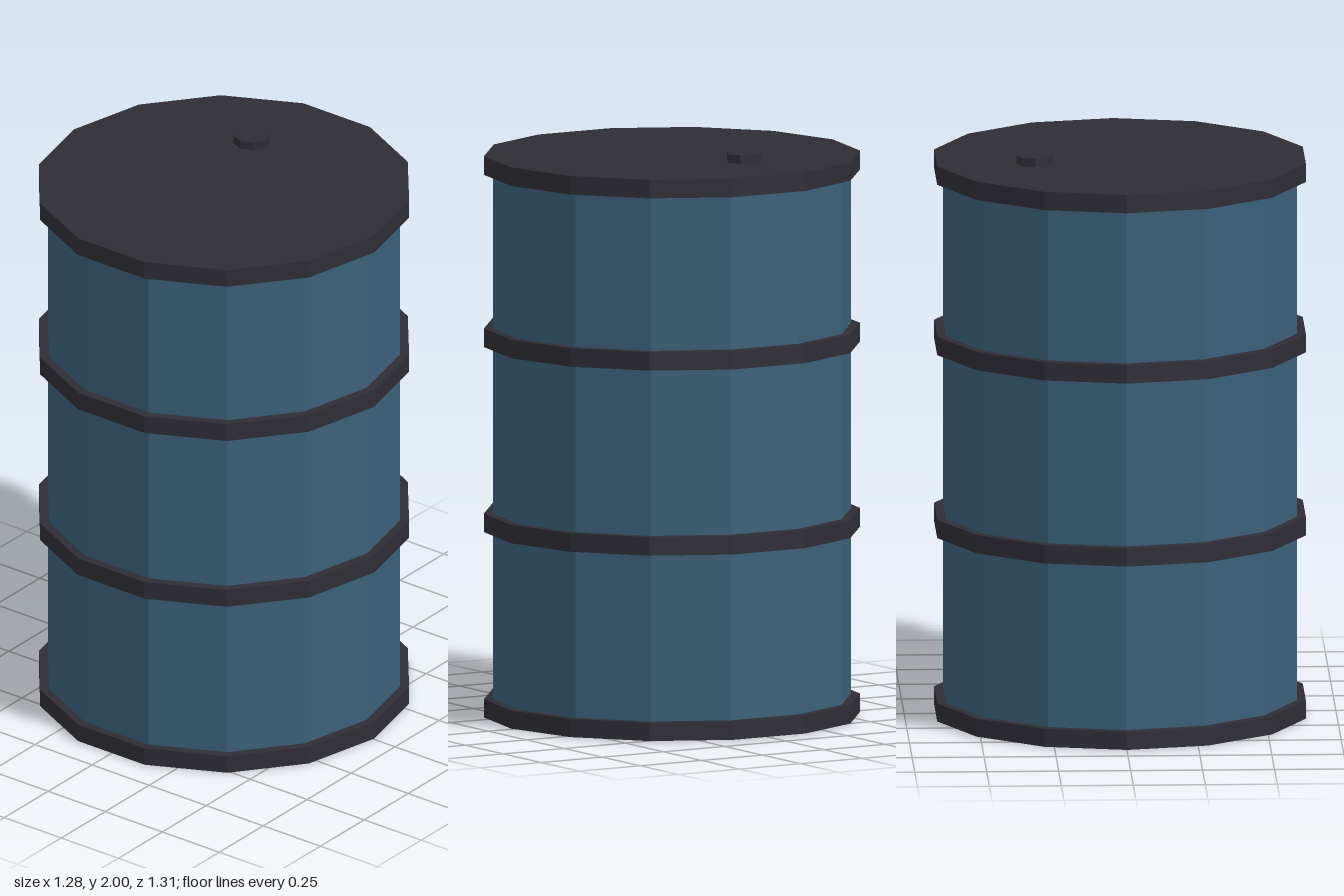
import * as THREE from 'three';

const SIDES = 14;

export function createModel() {
  const model = new THREE.Group();
  model.name = 'barrel';

  const blue = new THREE.MeshStandardMaterial({ color: 0x3a6078, flatShading: true });
  blue.name = 'steel blue paint';
  const dark = new THREE.MeshStandardMaterial({ color: 0x2e2d35, flatShading: true });
  dark.name = 'dark metal';

  // Upright faceted cylinder between two heights
  function drum(name, material, radius, bottom, top, sides = SIDES, x = 0, z = 0) {
    const geometry = new THREE.CylinderGeometry(radius, radius, top - bottom, sides);
    const mesh = new THREE.Mesh(geometry, material);
    mesh.name = name;
    mesh.position.set(x, (bottom + top) / 2, z);
    model.add(mesh);
  }

  // Body, whose underside shows inside the bottom rim
  drum('body', blue, 0.625, 0, 1.94);

  // Rims and hoops
  drum('bottomRim', dark, 0.657, 0.002, 0.066);
  drum('lowerHoop', dark, 0.657, 0.652, 0.717);
  drum('upperHoop', dark, 0.657, 1.301, 1.366);
  drum('lid', dark, 0.657, 1.905, 1.97);

  // Filler cap on the lid
  drum('fillerCap', dark, 0.063, 1.96, 2, 8, 0.3, -0.11);

  return model;
}
